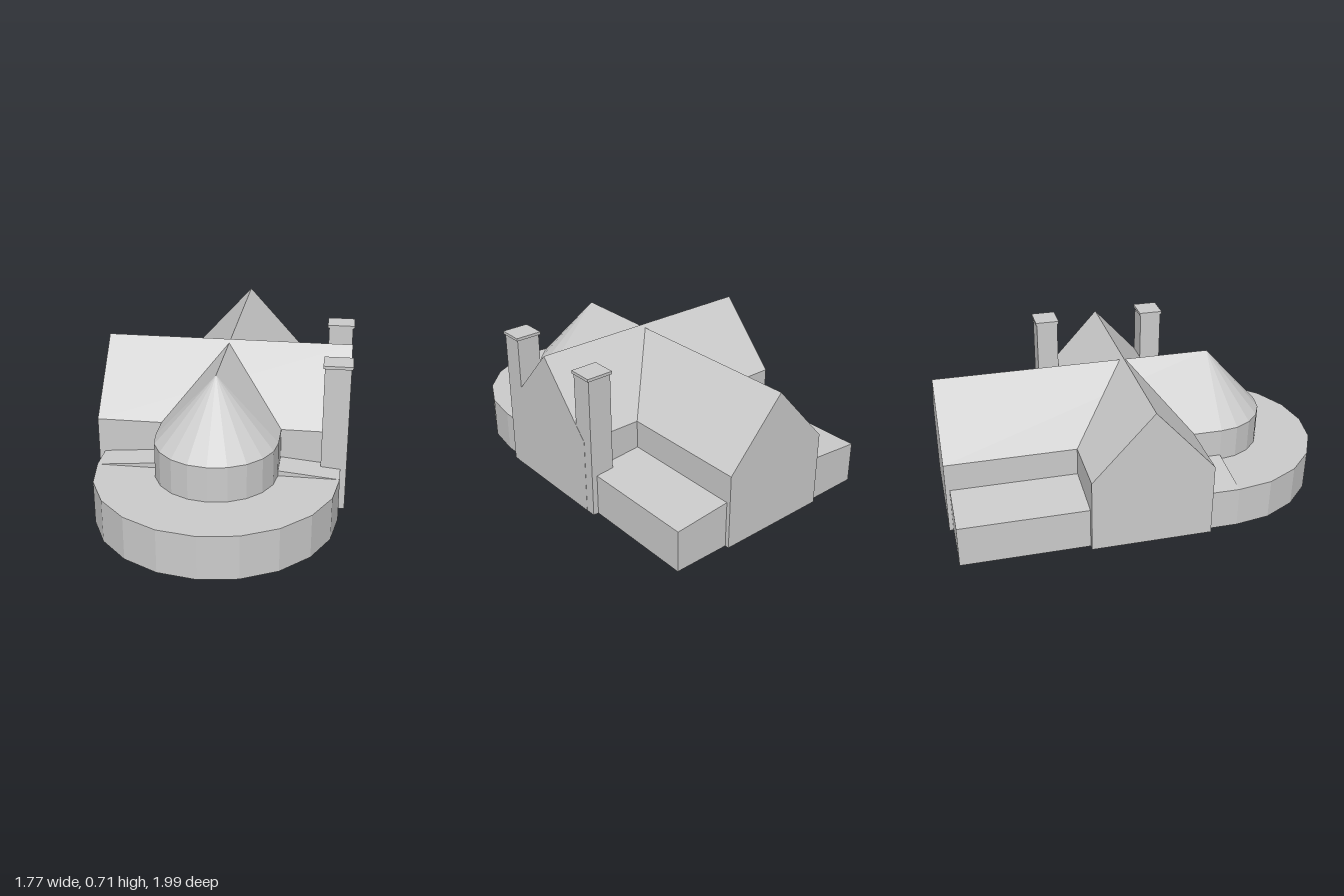
import * as THREE from 'three';

const stone = new THREE.MeshStandardMaterial({ color: 0xcccccc, flatShading: true, side: THREE.DoubleSide });
stone.name = 'pale stone';

const HALF = 0.281;   // half width of nave and apse
const OUTER = 0.56;   // half width across the aisles
const EAVE = 0.37;
const LOW = 0.205;    // aisle eave
const APSE_Z = 0.54;
const SIDES = 10;     // facets in each half round

// Extrudes an x-y profile from z0 to z1 and leaves the underside open
function shell(points, z0, z1) {
  const shape = new THREE.Shape(points.map(([x, y]) => new THREE.Vector2(x, y)));
  const geo = new THREE.ExtrudeGeometry(shape, { depth: z1 - z0, bevelEnabled: false }).toNonIndexed();
  geo.translate(0, 0, z0);
  const p = geo.attributes.position;
  const kept = [];
  for (let i = 0; i < p.count; i += 3) {
    if ([0, 1, 2].every(k => Math.abs(p.getY(i + k)) < 1e-5)) continue;
    for (let k = 0; k < 3; k++) kept.push(p.getX(i + k), p.getY(i + k), p.getZ(i + k));
  }
  const out = new THREE.BufferGeometry();
  out.setAttribute('position', new THREE.Float32BufferAttribute(kept, 3));
  out.computeVertexNormals();
  return out;
}

const gable = (w, ridge) => [[-w, 0], [w, 0], [w, EAVE], [0, ridge], [-w, EAVE]];

// Half-round wall or cone facing +z
function halfRound(rTop, rBottom, y0, y1) {
  const geo = new THREE.CylinderGeometry(rTop, rBottom, y1 - y0, SIDES, 1, true, -Math.PI / 2, Math.PI);
  return geo.translate(0, (y0 + y1) / 2, APSE_Z);
}

export function createModel() {
  const model = new THREE.Group();
  model.name = 'church';

  // The long axis lies diagonally on the plan
  const church = new THREE.Group();
  church.name = 'churchBody';
  church.rotation.y = 0.585;
  church.position.set(0.025, 0, -0.017);
  model.add(church);

  const add = (name, geo) => {
    const mesh = new THREE.Mesh(geo, stone);
    mesh.name = name;
    church.add(mesh);
    return mesh;
  };

  // Nave and chancel under one ridge
  add('naveAndChancel', shell(gable(HALF, 0.68), -0.828, APSE_Z));

  // Transept crossing the nave
  const transept = shell(gable(0.294, 0.695), -0.588, 0.588);
  transept.rotateY(Math.PI / 2).translate(0, 0, 0.103);
  add('transept', transept);

  // Low aisles with shallow lean-to roofs
  for (const s of [-1, 1]) {
    const profile = [[s * HALF, 0], [s * OUTER, 0], [s * OUTER, LOW], [s * HALF, 0.23]];
    add(s < 0 ? 'rightAisle' : 'leftAisle', shell(profile, -0.808, APSE_Z));
  }

  // Round apse with half-cone roof
  add('apseWall', halfRound(HALF, HALF, 0, EAVE));
  add('apseRoof', halfRound(0, HALF, EAVE, 0.68));

  // Flat-roofed ambulatory round the apse
  add('ambulatoryWall', halfRound(OUTER, OUTER, 0, LOW));
  const ring = new THREE.RingGeometry(HALF, OUTER, SIDES, 1, Math.PI, Math.PI);
  ring.rotateX(-Math.PI / 2).translate(0, LOW, APSE_Z);
  add('ambulatoryRoof', ring);

  // Square turrets at the corners of one transept end
  for (const z of [-0.187, 0.383]) {
    const x = 0.528;
    const shaft = [[x - 0.059, 0], [x + 0.059, 0], [x + 0.059, 0.7], [x - 0.059, 0.7]];
    add('turretShaft', shell(shaft, z - 0.055, z + 0.055));
    add('turretCap', new THREE.BoxGeometry(0.132, 0.014, 0.122)).position.set(x, 0.703, z);
  }

  return model;
}
